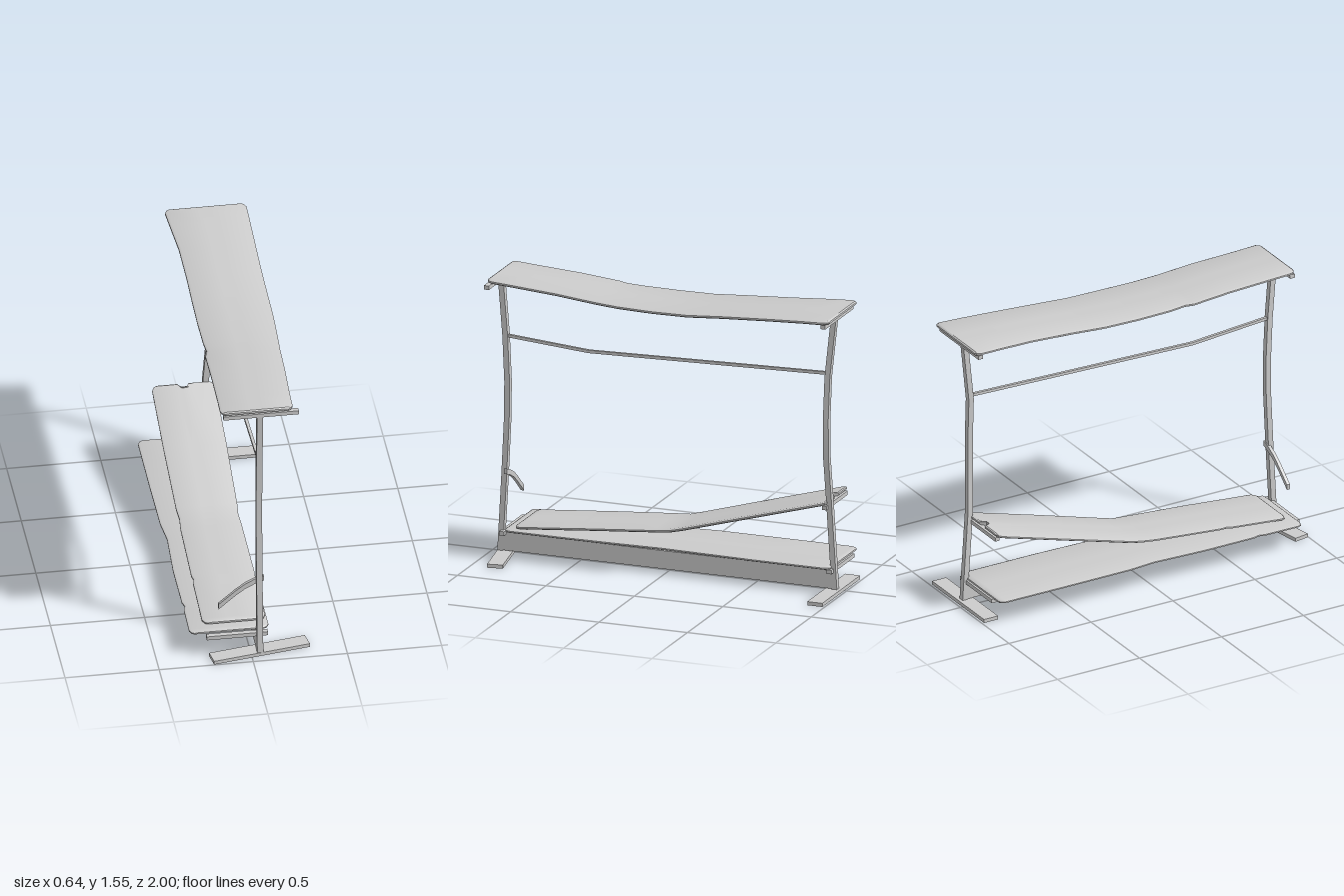
import * as THREE from 'three';
import { toCreasedNormals } from 'three/addons/utils/BufferGeometryUtils.js';

const material = new THREE.MeshStandardMaterial({ color: 0xcccccc });

// Skin a list of equal closed rings and cap both ends with strips
function loft(rings) {
  const n = rings[0].length, index = [], last = (rings.length - 1) * n;
  for (let r = 0; r < rings.length - 1; r++) {
    for (let i = 0; i < n; i++) {
      const a = r * n + i, b = r * n + (i + 1) % n;
      index.push(a, b, a + n, b, b + n, a + n);
    }
  }
  for (let i = 0; i < n / 2 - 1; i++) {
    const j = n - 1 - i;
    index.push(i, j, i + 1, i + 1, j, j - 1);
    index.push(last + i, last + i + 1, last + j, last + i + 1, last + j - 1, last + j);
  }
  const geo = new THREE.BufferGeometry();
  geo.setAttribute('position', new THREE.Float32BufferAttribute(rings.flat(2), 3));
  geo.setIndex(index);
  return toCreasedNormals(geo, 0.6);
}

// Bent rectangular bar through points; u and v are the axes of its section
function bar(points, u, v, w, h) {
  const corners = [[-1, 1], [1, 1], [1, -1], [-1, -1]];
  return loft(points.map(p => corners.map(([a, b]) => {
    const q = [...p];
    q[u] += a * w / 2;
    q[v] += b * h / 2;
    return q;
  })));
}

// Softly edged plank: stations are [z, centre y, left x, right x], front to back
function plank(stations, thick, notchZ = -9) {
  const h = thick / 2, first = stations[0], end = stations[stations.length - 1];
  const at = z => {
    let i = 0;
    while (i < stations.length - 2 && stations[i + 1][0] > z) i++;
    const a = stations[i], b = stations[i + 1], t = (a[0] - z) / (a[0] - b[0]);
    return a.map((q, k) => q + (b[k] - q) * t);
  };
  // rounded corners: the end sections are drawn in
  const rounding = [[0, 0.026, 0.5], [0.008, 0.011, 1], [0.03, 0, 1]];
  const sections = [
    ...rounding.map(([d, inset, k]) => [at(first[0] - d), inset, k]),
    ...stations.slice(1, -1).map(s => [s, 0, 1]),
    ...rounding.map(([d, inset, k]) => [at(end[0] + d), inset, k]).reverse(),
  ];
  return loft(sections.map(([[z, y, x0, x1], inset, k]) => {
    const l = x0 + inset, r = x1 - inset, m = (l + r) / 2;
    const xs = [l, l + 0.012, m - 0.03, m - 0.012, m + 0.012, m + 0.03, r - 0.012, r];
    const row = s => xs.map((x, i) => [
      x,
      y + s * h * k * (i === 0 || i === 7 ? 0.4 : 1),
      i === 3 || i === 4 ? Math.max(z, notchZ) : z,
    ]);
    return [...row(1), ...row(-1).reverse()];
  }));
}

export function createModel() {
  const model = new THREE.Group();
  const add = (name, geo, x = 0, y = 0, z = 0, turn = 0) => {
    const mesh = new THREE.Mesh(geo, material);
    mesh.name = name;
    mesh.position.set(x, y, z);
    mesh.rotation.y = turn;
    model.add(mesh);
  };
  const box = (w, h, d) => new THREE.BoxGeometry(w, h, d);

  // Feet, the front one slightly twisted
  add('frontFoot', box(0.53, 0.02, 0.085), 0.047, 0.01, 0.91, 0.17);
  add('backFoot', box(0.535, 0.02, 0.085), 0.045, 0.01, -0.945);

  // Warped uprights
  add('frontPost', bar([
    [0.045, 0.01, 0.936], [0.045, 0.45, 0.912], [0.045, 0.75, 0.898], [0.045, 0.95, 0.896],
    [0.045, 1.2, 0.907], [0.045, 1.51, 0.932],
  ], 0, 2, 0.032, 0.03), 0, 0, 0);
  add('backPost', bar([
    [0.045, 0.01, -0.955], [0.045, 0.52, -0.922], [0.061, 0.74, -0.913], [0.062, 0.95, -0.912],
    [0.047, 1.18, -0.915], [0.045, 1.51, -0.95],
  ], 0, 2, 0.032, 0.03));

  // Base beam, sagging top beam and middle rail
  add('baseBeam', box(0.032, 0.1, 1.88), 0.045, 0.073, -0.01);
  add('topBeam', bar([
    [0.045, 1.508, 0.94], [0.045, 1.459, 0.31], [0.045, 1.459, -0.33], [0.045, 1.508, -0.96],
  ], 0, 1, 0.032, 0.03));
  add('middleRail', bar([
    [0.045, 1.2, 0.9], [0.045, 1.165, 0.44], [0.047, 1.2, -0.91],
  ], 0, 1, 0.016, 0.016));

  // Cross bars carrying the planks
  for (const [name, z] of [['front', 0.937], ['back', -0.965]]) {
    add(name + 'TopCrossBar', box(0.4, 0.022, 0.028), 0.05, 1.515, z);
  }
  for (const [name, z] of [['front', 0.915], ['back', -0.935]]) {
    add(name + 'LowerCrossBar', box(0.325, 0.022, 0.028), -0.073, 0.122, z);
  }
  add('rampCrossBar', box(0.3, 0.022, 0.026), -0.07, 0.467, -0.905);

  // Top plank
  add('topPlank', plank([
    [0.95, 1.539, -0.165, 0.22], [0.8, 1.531, -0.16, 0.225], [0.55, 1.518, -0.155, 0.238],
    [0.34, 1.5, -0.152, 0.246], [0.29, 1.497, -0.137, 0.249], [0.2, 1.492, -0.142, 0.254],
    [0, 1.49, -0.143, 0.262], [-0.2, 1.493, -0.14, 0.263], [-0.4, 1.508, -0.138, 0.262],
    [-0.65, 1.524, -0.14, 0.265], [-0.85, 1.535, -0.155, 0.268], [-1, 1.541, -0.165, 0.27],
  ], 0.022));

  // Lower plank
  add('lowerPlank', plank([
    [0.9, 0.14, -0.322, 0.1], [0.67, 0.14, -0.318, 0.1], [0.64, 0.14, -0.308, 0.1],
    [0.6, 0.14, -0.318, 0.1], [0.3, 0.14, -0.318, 0.095], [0, 0.14, -0.303, 0.085],
    [-0.15, 0.14, -0.317, 0.09], [-0.5, 0.14, -0.318, 0.1], [-0.94, 0.14, -0.316, 0.1],
  ], 0.018));

  // Bent ramp plank with a notch in its raised end
  add('rampPlank', plank([
    [0.845, 0.161, -0.245, 0.09], [0.51, 0.192, -0.244, 0.09], [0.48, 0.195, -0.236, 0.088],
    [0.45, 0.198, -0.244, 0.09], [0.05, 0.232, -0.24, 0.084], [-0.03, 0.24, -0.233, 0.08],
    [-0.1, 0.258, -0.24, 0.085], [-0.5, 0.374, -0.245, 0.09], [-0.915, 0.493, -0.245, 0.09],
  ], 0.02, -0.88));

  // Drooping side lever on the front post
  add('sideLever', bar([
    [0.07, 0.46, 0.9], [0.02, 0.442, 0.9], [-0.03, 0.416, 0.9],
    [-0.08, 0.379, 0.9], [-0.17, 0.302, 0.9],
  ], 1, 2, 0.03, 0.018));

  return model;
}
